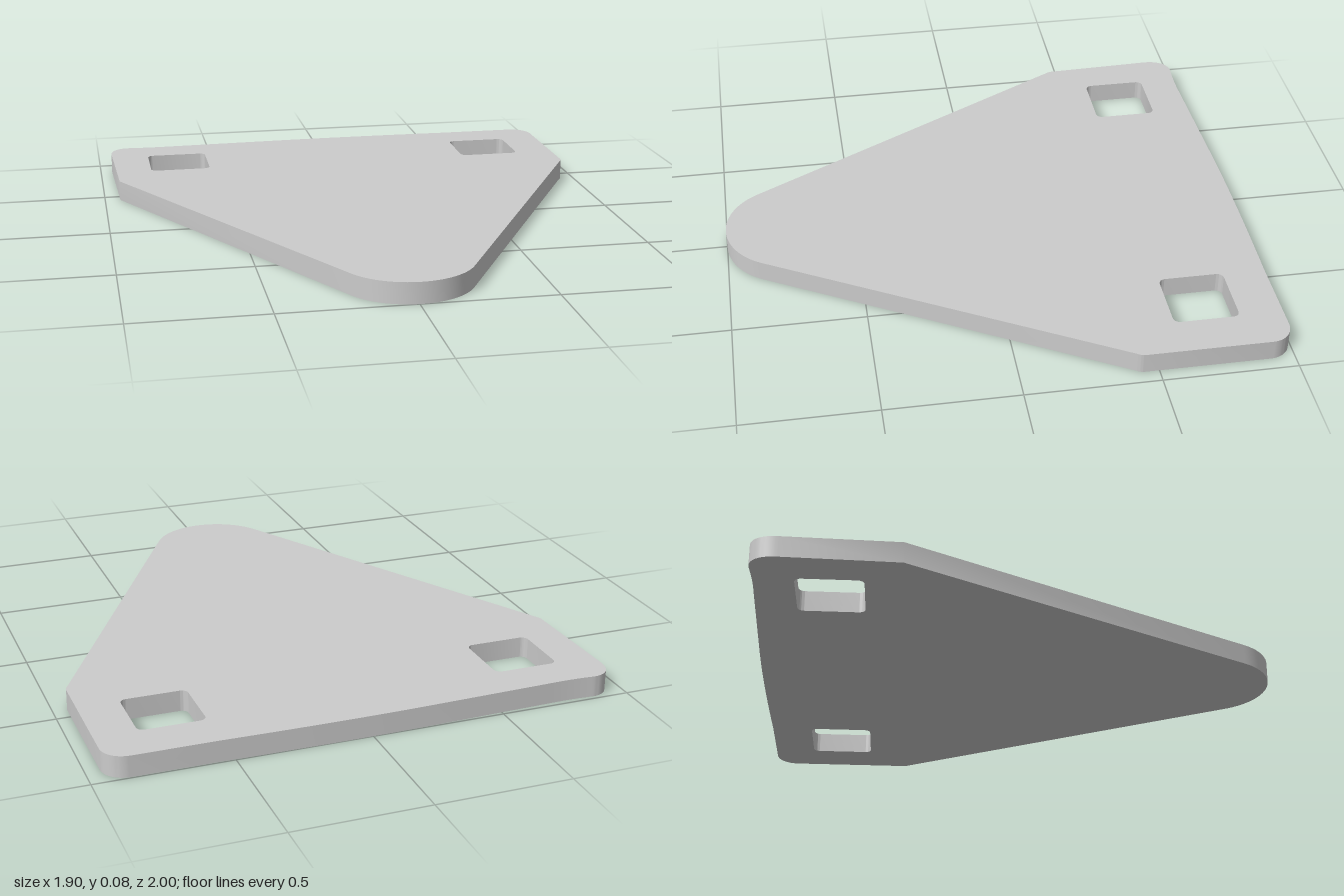
import * as THREE from 'three';
import { toCreasedNormals } from 'three/addons/utils/BufferGeometryUtils.js';

const THICKNESS = 0.08;

// Square hole with small rounded corners, centred on (cx, cy)
function roundedHole(cx, cy, half, r) {
  const hole = new THREE.Path();
  const c = half - r;
  [[1, 1], [-1, 1], [-1, -1], [1, -1]].forEach(([sx, sy], i) => {
    hole.absarc(cx + sx * c, cy + sy * c, r, i * Math.PI / 2, (i + 1) * Math.PI / 2, false);
  });
  hole.closePath();
  return hole;
}

export function createModel() {
  const group = new THREE.Group();
  group.name = 'mountingPlate';

  // Outline seen from above: shape y points to the back (-z)
  const outline = new THREE.Shape();
  const slope = 0.505; // angle of the tapering sides, in radians
  outline.moveTo(-0.935, 0.43);
  // Rounded front tip
  outline.absarc(0.005, -0.75, 0.25, Math.PI + slope, 2 * Math.PI - slope, false);
  // Right-hand flank and back corner
  outline.lineTo(0.936, 0.415);
  outline.quadraticCurveTo(0.948, 0.43, 0.948, 0.45);
  outline.lineTo(0.948, 0.91);
  outline.bezierCurveTo(0.948, 0.96, 0.91, 0.995, 0.86, 0.995);
  // Slightly bowed back edge
  outline.lineTo(0.55, 0.995);
  outline.quadraticCurveTo(0.1, 1.005, -0.2, 0.996);
  outline.lineTo(-0.68, 0.981);
  outline.quadraticCurveTo(-0.78, 0.976, -0.87, 0.984);
  // Other back corner and flank
  outline.bezierCurveTo(-0.925, 0.985, -0.955, 0.94, -0.952, 0.88);
  outline.lineTo(-0.938, 0.45);
  outline.closePath();

  // Two square slots near the back
  outline.holes.push(roundedHole(-0.675, 0.71, 0.123, 0.025));
  outline.holes.push(roundedHole(0.67, 0.71, 0.123, 0.025));

  const solid = new THREE.ExtrudeGeometry(outline, {
    depth: THICKNESS, bevelEnabled: false, curveSegments: 16,
  });
  solid.rotateX(-Math.PI / 2);

  const plate = new THREE.Mesh(
    toCreasedNormals(solid, Math.PI / 6),
    new THREE.MeshStandardMaterial({ color: 0xcccccc }),
  );
  plate.name = 'plate';
  group.add(plate);
  return group;
}
